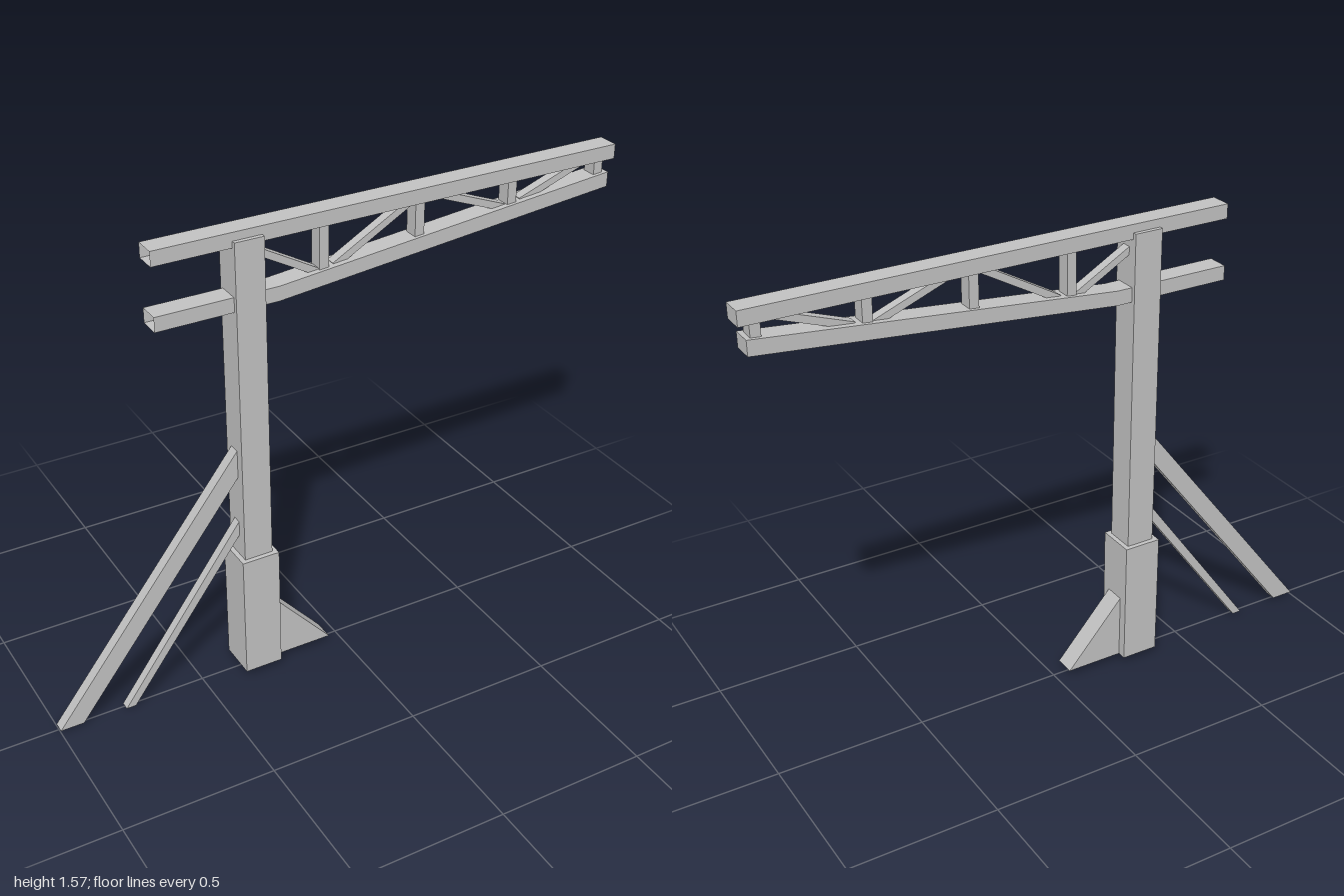
import * as THREE from 'three';

const steel = new THREE.MeshStandardMaterial({ color: 0xc0c0c0, side: THREE.DoubleSide });
steel.name = 'greySteel';

// Hollow bar: convex counter-clockwise outline in x/y, given z half-width.
// Edge i runs from point i to i + 1; edges listed in open stay uncovered.
function bar(name, pts, half, open = []) {
  const pos = [];
  const tri = (...corners) => corners.forEach((c) => pos.push(...c));
  const at = (i, z) => [...pts[i % pts.length], z];
  for (let i = 1; i < pts.length - 1; i++) {
    tri(at(0, half), at(i, half), at(i + 1, half));
    tri(at(0, -half), at(i + 1, -half), at(i, -half));
  }
  pts.forEach((_, i) => {
    if (open.includes(i)) return;
    tri(at(i, half), at(i, -half), at(i + 1, -half));
    tri(at(i, half), at(i + 1, -half), at(i + 1, half));
  });
  const geo = new THREE.BufferGeometry();
  geo.setAttribute('position', new THREE.Float32BufferAttribute(pos, 3));
  geo.computeVertexNormals();
  const mesh = new THREE.Mesh(geo, steel);
  mesh.name = name;
  return mesh;
}

const rect = (x0, x1, y0, y1) => [[x0, y0], [x1, y0], [x1, y1], [x0, y1]];

// Outline of a slanted strip of given thickness between two points
function strip(x0, y0, x1, y1, t) {
  const len = Math.hypot(x1 - x0, y1 - y0);
  const nx = (-(y1 - y0) / len) * t / 2;
  const ny = ((x1 - x0) / len) * t / 2;
  return [[x0 - nx, y0 - ny], [x1 - nx, y1 - ny], [x1 + nx, y1 + ny], [x0 + nx, y0 + ny]];
}

export function createModel() {
  const model = new THREE.Group();
  model.name = 'gantryPost';

  // Post, its wider foot sleeve and the wedge beside it
  model.add(
    bar('post', rect(-0.353, -0.257, 0.45, 1.545), 0.05, [0]),
    bar('footSleeve', rect(-0.369, -0.241, 0.022, 0.455), 0.066, [0]),
    bar('footWedge', [[-0.241, 0.022], [-0.043, 0.022], [-0.241, 0.247]], 0.035, [0, 2]),
  );

  // Rear props, cut level at the ground and upright at the post
  model.add(
    bar('longProp', [[-1, 0.008], [-0.922, 0.008], [-0.353, 0.746], [-0.353, 0.842]], 0.019, [0, 2]),
    bar('shortProp', [[-0.775, 0], [-0.743, 0], [-0.353, 0.53], [-0.353, 0.58]], 0.015, [0, 2]),
  );

  // Upper chord and bent lower chord, open at the rear end
  const lower = new THREE.Group();
  lower.name = 'lowerChord';
  lower.add(
    bar('levelPart', rect(-0.605, -0.205, 1.321, 1.369), 0.036, [1, 3]),
    bar('risingPart', [[-0.205, 1.321], [0.978, 1.434], [0.978, 1.483], [-0.205, 1.369]], 0.036, [3]),
  );
  model.add(bar('upperChord', rect(-0.605, 0.998, 1.524, 1.572), 0.036, [3]), lower);

  // Lattice between the chords
  const lattice = new THREE.Group();
  lattice.name = 'lattice';
  for (const x of [-0.049, 0.281, 0.617, 0.946]) {
    const bottom = 1.36 + (x + 0.205) * 0.096;
    lattice.add(bar('upright', rect(x - 0.016, x + 0.016, bottom, 1.53), 0.024));
  }
  const diagonals = [
    [-0.28, 1.495, -0.06, 1.37],
    [-0.01, 1.38, 0.265, 1.535],
    [0.34, 1.535, 0.595, 1.436],
    [0.655, 1.444, 0.9, 1.532],
  ];
  for (const d of diagonals) lattice.add(bar('diagonal', strip(...d, 0.023), 0.016));
  model.add(lattice);

  return model;
}
